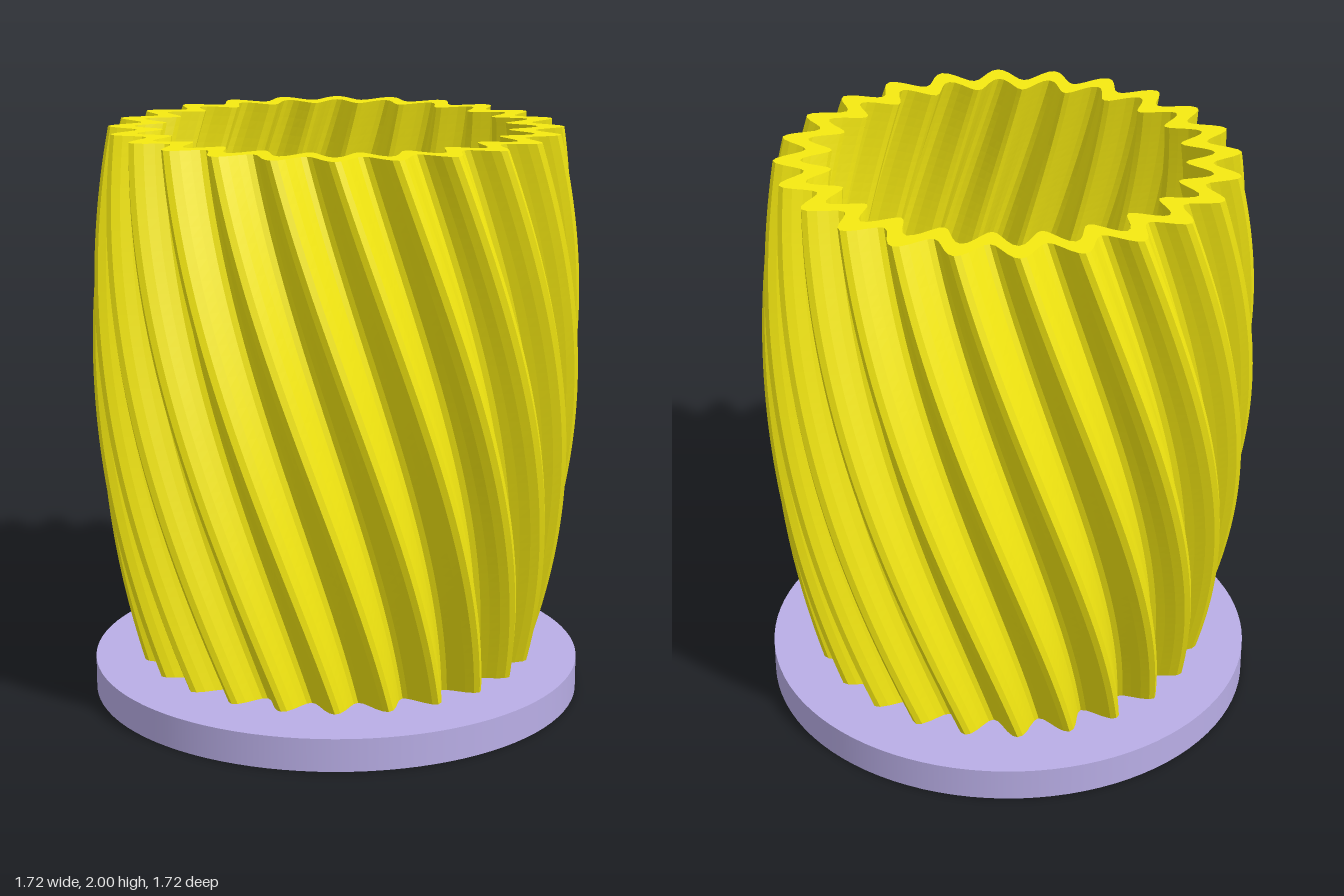
import * as THREE from 'three';

const LOBES = 24, STEPS = 10, SEGMENTS = LOBES * STEPS, LAYERS = 56;
const BOTTOM = 0.135, TOP = 2, FLOOR = 0.22;
const TWIST = Math.PI / 4, WALL = 0.09, RIB = 0.05;

// Radius of the rib crests: a gentle barrel
const crest = (y) => 0.845 - 0.12 * (y - 1.25) ** 2;

// Ribbed star cross-section at height y, moved inwards by inset (scale 0 gives a cap centre)
function ring(y, inset, scale = 1) {
  const turn = TWIST * (y - TOP) / (TOP - BOTTOM);
  const points = [];
  for (let i = 0; i <= SEGMENTS; i++) {
    const a = (i / SEGMENTS) * Math.PI * 2;
    const r = scale * (crest(y) - inset - RIB + RIB * Math.cos(a * LOBES));
    points.push(r * Math.cos(a + turn), y, r * Math.sin(a + turn));
  }
  return points;
}

// Skin consecutive rings into one closed surface
function skin(rings) {
  const index = [], n = SEGMENTS + 1;
  for (let j = 0; j < rings.length - 1; j++) {
    for (let i = 0; i < SEGMENTS; i++) {
      const p = j * n + i, q = p + n;
      index.push(p, q, p + 1, p + 1, q, q + 1);
    }
  }
  const geometry = new THREE.BufferGeometry();
  geometry.setAttribute('position', new THREE.Float32BufferAttribute(rings.flat(), 3));
  geometry.setIndex(index);
  geometry.computeVertexNormals();
  return geometry;
}

export function createModel() {
  const group = new THREE.Group();

  // Twisted pot: underside, outer wall, rim, inner wall, floor
  const rings = [ring(BOTTOM, 0, 0)];
  for (let j = 0; j <= LAYERS; j++) rings.push(ring(THREE.MathUtils.lerp(BOTTOM, TOP, j / LAYERS), 0));
  for (let j = 0; j <= LAYERS; j++) rings.push(ring(THREE.MathUtils.lerp(TOP, FLOOR, j / LAYERS), WALL));
  rings.push(ring(FLOOR, WALL, 0));
  const pot = new THREE.Mesh(
    skin(rings),
    new THREE.MeshStandardMaterial({ color: 0xf5e911, flatShading: true })
  );
  pot.name = 'twistedPot';

  // Round saucer, a hair below the pot
  const saucer = new THREE.Mesh(
    new THREE.CylinderGeometry(0.86, 0.86, 0.115, 96),
    new THREE.MeshStandardMaterial({ color: 0xb9aee6 })
  );
  saucer.position.y = 0.0575;
  saucer.name = 'saucer';

  group.add(pot, saucer);
  return group;
}
